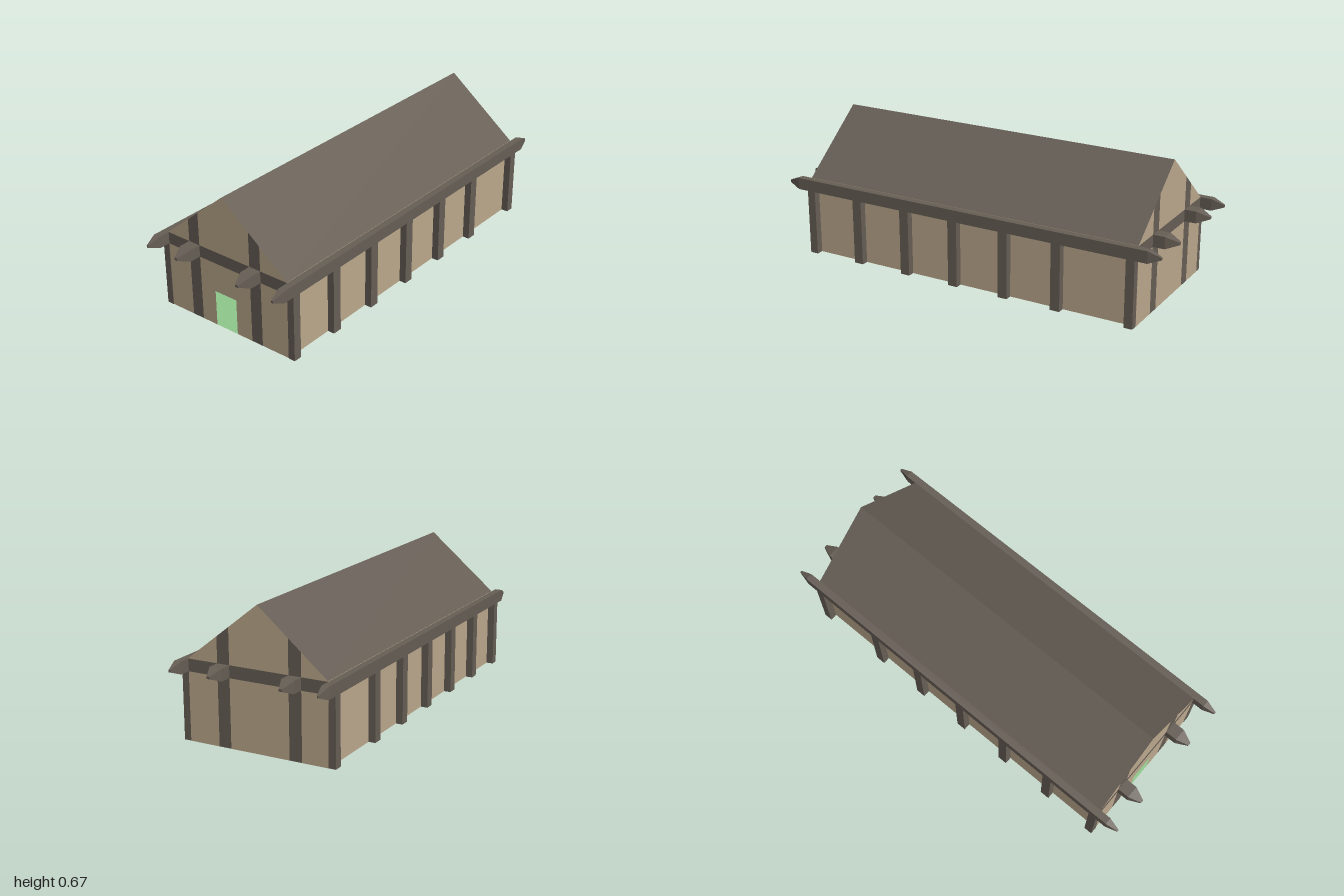
import * as THREE from 'three';

const X = 0.883;        // half length of the hall
const Z = 0.352;        // half depth of the walls
const SILL = 0.325, EAVE = 0.386, RIDGE = 0.672, RIDGE_Z = -0.01;
const BEAM_Z = [0.169, -0.191];   // inner beams and gable studs
const STUD = 0.062;

// Height of the roof line at depth z
function roofY(z) {
  const run = z > RIDGE_Z ? Z - RIDGE_Z : Z + RIDGE_Z;
  return RIDGE - (RIDGE - EAVE) * Math.abs(z - RIDGE_Z) / run;
}

export function createModel() {
  const model = new THREE.Group();
  const mat = (name, color, side = THREE.DoubleSide) => {
    const m = new THREE.MeshStandardMaterial({ color, side });
    m.name = name;
    return m;
  };
  const plaster = mat('tan plaster', 0xbda98d);
  const timber = mat('dark timber', 0x675f56, THREE.FrontSide);
  const timberPanel = mat('dark timber panel', 0x675f56);
  const floorGreen = mat('green floor', 0x90c98d);

  const add = (name, geometry, material, x = 0, y = 0, z = 0, parent = model) => {
    const mesh = new THREE.Mesh(geometry, material);
    mesh.name = name;
    mesh.position.set(x, y, z);
    parent.add(mesh);
    return mesh;
  };

  // Flat panel in the gable plane from [z, y] corners
  const gablePanel = (name, corners, material, parent) => {
    const shape = new THREE.Shape(corners.map(([z, y]) => new THREE.Vector2(-z, y)));
    add(name, new THREE.ShapeGeometry(shape).rotateY(Math.PI / 2), material, 0, 0, 0, parent);
  };

  // Beam with both ends tapered to a blunt tip
  const taperedBeam = (name, width, z) => {
    const geo = new THREE.BoxGeometry(2, 0.058, width, 3, 1, 1).toNonIndexed();
    const p = geo.attributes.position;
    for (let i = 0; i < p.count; i++) {
      const x = p.getX(i);
      if (Math.abs(x) > 0.9) p.setXYZ(i, x, p.getY(i) * 0.2, p.getZ(i) * 0.25);
      else p.setX(i, Math.sign(x) * 0.94);
    }
    geo.computeVertexNormals();
    add(name, geo, timber, 0, 0.355, z);
  };

  // Floor
  add('floor', new THREE.PlaneGeometry(2 * X, 2 * Z).rotateX(-Math.PI / 2), floorGreen);

  // Long walls with posts and eave beams
  const postX = [-0.864, -0.59, -0.317, -0.047, 0.223, 0.497, 0.861];
  for (const side of [1, -1]) {
    const label = side > 0 ? 'front' : 'back';
    const wall = add(label + 'Wall', new THREE.PlaneGeometry(2 * X, EAVE), plaster, 0, EAVE / 2, side * Z);
    if (side < 0) wall.rotation.y = Math.PI;
    for (const x of postX) {
      const width = Math.abs(x) > 0.8 ? 0.042 : 0.048;
      add(label + 'Post', new THREE.BoxGeometry(width, 0.33, 0.035), timber, x, 0.165, side * (Z + 0.0175));
    }
    taperedBeam(label + 'EaveBeam', 0.035, side * (Z + 0.0175));
  }
  BEAM_Z.forEach((z) => taperedBeam('innerBeam', STUD, z));

  // Roof slopes
  for (const side of [1, -1]) {
    const eaveZ = side * Z, run = eaveZ - RIDGE_Z, rise = RIDGE - EAVE;
    const slope = new THREE.PlaneGeometry(2 * X, Math.hypot(run, rise));
    const mesh = add(side > 0 ? 'frontRoof' : 'backRoof', slope, timberPanel,
      0, (RIDGE + EAVE) / 2, (RIDGE_Z + eaveZ) / 2);
    mesh.rotation.order = 'YXZ';
    mesh.rotation.set(-Math.atan2(Math.abs(run), rise), side > 0 ? 0 : Math.PI, 0);
  }

  // Gable ends: plaster bays, studs and a tie band; the doorway is on -x
  const edges = [Z, BEAM_Z[0] + STUD / 2, BEAM_Z[0] - STUD / 2,
    BEAM_Z[1] + STUD / 2, BEAM_Z[1] - STUD / 2, -Z];
  for (const side of [1, -1]) {
    const gable = new THREE.Group();
    gable.name = side > 0 ? 'rightGable' : 'leftGable';
    gable.position.x = side * X;
    model.add(gable);
    gablePanel('tieBand', [[Z, SILL], [-Z, SILL], [-Z, EAVE - 0.002], [Z, EAVE - 0.002]], timberPanel, gable);
    for (let i = 0; i < 5; i++) {
      const a = edges[i], b = edges[i + 1];
      const isStud = i % 2 === 1;
      const material = isStud ? timberPanel : plaster;
      const name = isStud ? 'stud' : 'plasterBay';
      const door = i === 2 && side < 0
        ? [[0.05, 0], [0.05, 0.178], [-0.075, 0.178], [-0.075, 0]] : [];
      gablePanel(name, [[a, 0], ...door, [b, 0], [b, SILL], [a, SILL]], material, gable);
      const top = [[b, roofY(b)], ...(i === 2 ? [[RIDGE_Z, RIDGE]] : []), [a, roofY(a)]];
      const base = EAVE - 0.002;
      gablePanel(name + 'Upper', [[a, base], [b, base], ...top], material, gable);
    }
  }
  return model;
}
